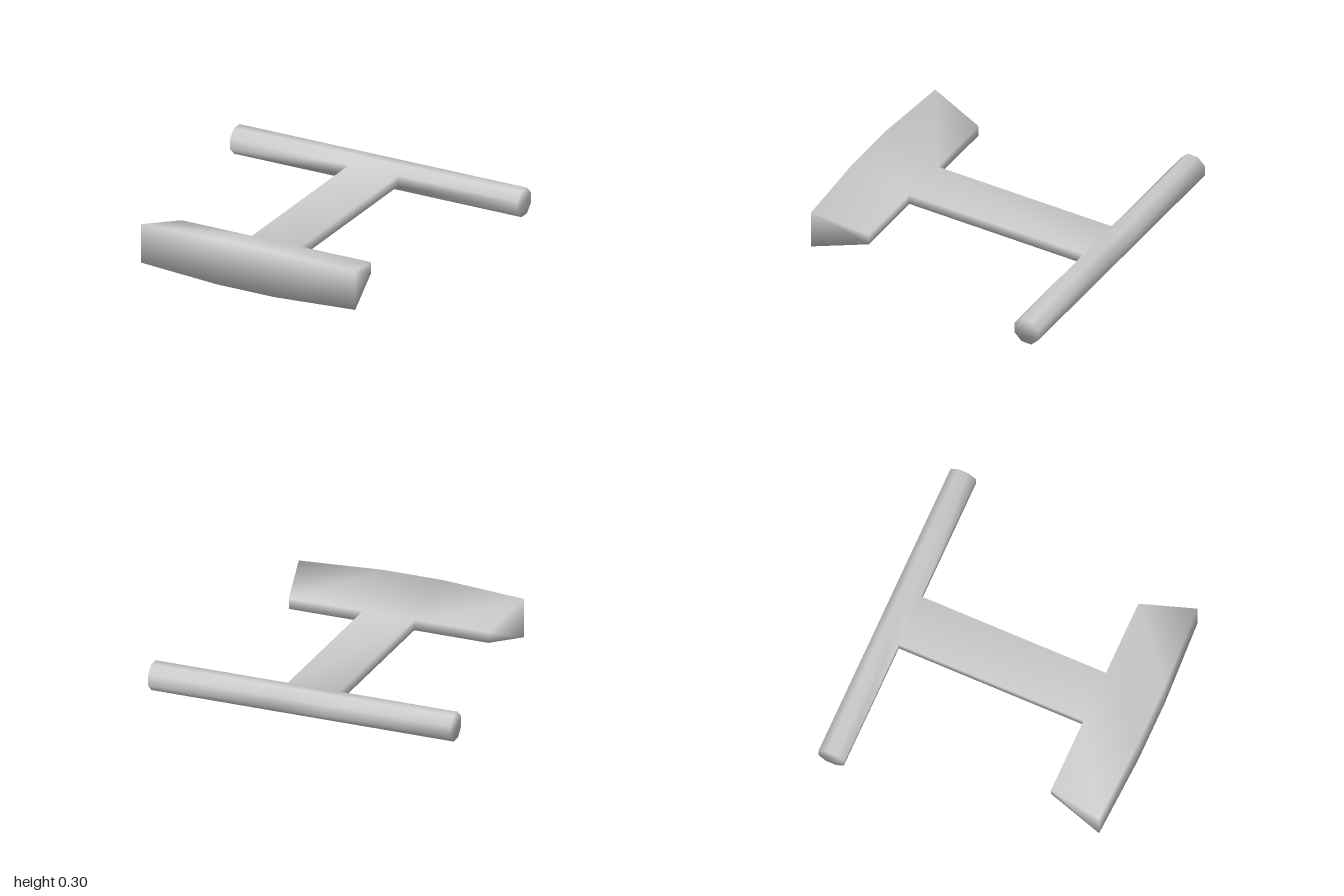
import * as THREE from 'three';

export function createModel() {
  const group = new THREE.Group();
  const grey = new THREE.MeshStandardMaterial({ color: 0xcccccc });
  grey.name = 'light grey';

  // All parts share one vertex set, so shading flows smoothly across the joins
  const points = [];
  const addPoint = (x, y, z) => points.push(x, y, z) / 3 - 1;
  const quad = (a, b, c, d) => [a, b, c, a, c, d];
  const fan = (ring) => ring.slice(2).flatMap((p, i) => [ring[0], ring[i + 1], p]);

  // Joins rings from -x to +x and caps both ends; one side of the middle span stays open for the arm
  function loft(rings, openSide) {
    const index = [];
    const n = rings[0].length;
    for (let i = 0; i < rings.length - 1; i++) {
      for (let k = 0; k < n; k++) {
        if (i === 1 && k === openSide) continue;
        const a = rings[i], b = rings[i + 1], next = (k + 1) % n;
        index.push(...quad(a[k], b[k], b[next], a[next]));
      }
    }
    index.push(...fan(rings[0]), ...fan([...rings[rings.length - 1]].reverse()));
    return index;
  }

  // Octagonal crossbar at the back
  const midY = 0.154, radius = 0.085 / Math.cos(Math.PI / 8);
  const bar = [-1, -0.17, 0.17, 1].map((x) =>
    Array.from({ length: 8 }, (_, k) => {
      const angle = (k + 0.5) * Math.PI / 4;
      return addPoint(x, midY + radius * Math.sin(angle), -0.805 + radius * Math.cos(angle));
    }));

  // Flared head: each section runs front low, front high, back high, back low
  const sections = [
    [-0.745, -0.66, 0.128, 0.867], [-0.2, -0.17, 0.15, 0.89],
    [0.2, 0.17, 0.15, 0.89], [0.745, 0.66, 0.128, 0.867],
  ];
  const head = sections.map(([frontX, backX, half, z]) => [
    addPoint(frontX, midY - half, z), addPoint(frontX, midY + half, z),
    addPoint(backX, midY + 0.035, 0.51), addPoint(backX, midY - 0.035, 0.51),
  ]);

  // Flat arm between the open sides of head and bar
  const [, headR, headL] = head;
  const [, barR, barL] = bar;
  const arm = [
    ...quad(headR[2], headL[2], barL[0], barR[0]),
    ...quad(barR[7], barL[7], headL[3], headR[3]),
    ...quad(headL[3], barL[7], barL[0], headL[2]),
    ...quad(barR[7], headR[3], headR[2], barR[0]),
  ];

  const parts = { crossbar: loft(bar, 7), arm, flaredHead: loft(head, 2) };

  // Normals come from the whole body, then each part takes its own faces
  const body = new THREE.BufferGeometry();
  body.setAttribute('position', new THREE.Float32BufferAttribute(points, 3));
  body.setIndex(Object.values(parts).flat());
  body.computeVertexNormals();
  for (const [name, index] of Object.entries(parts)) {
    const geometry = body.clone();
    geometry.setIndex(index);
    const mesh = new THREE.Mesh(geometry, grey);
    mesh.name = name;
    group.add(mesh);
  }
  return group;
}
